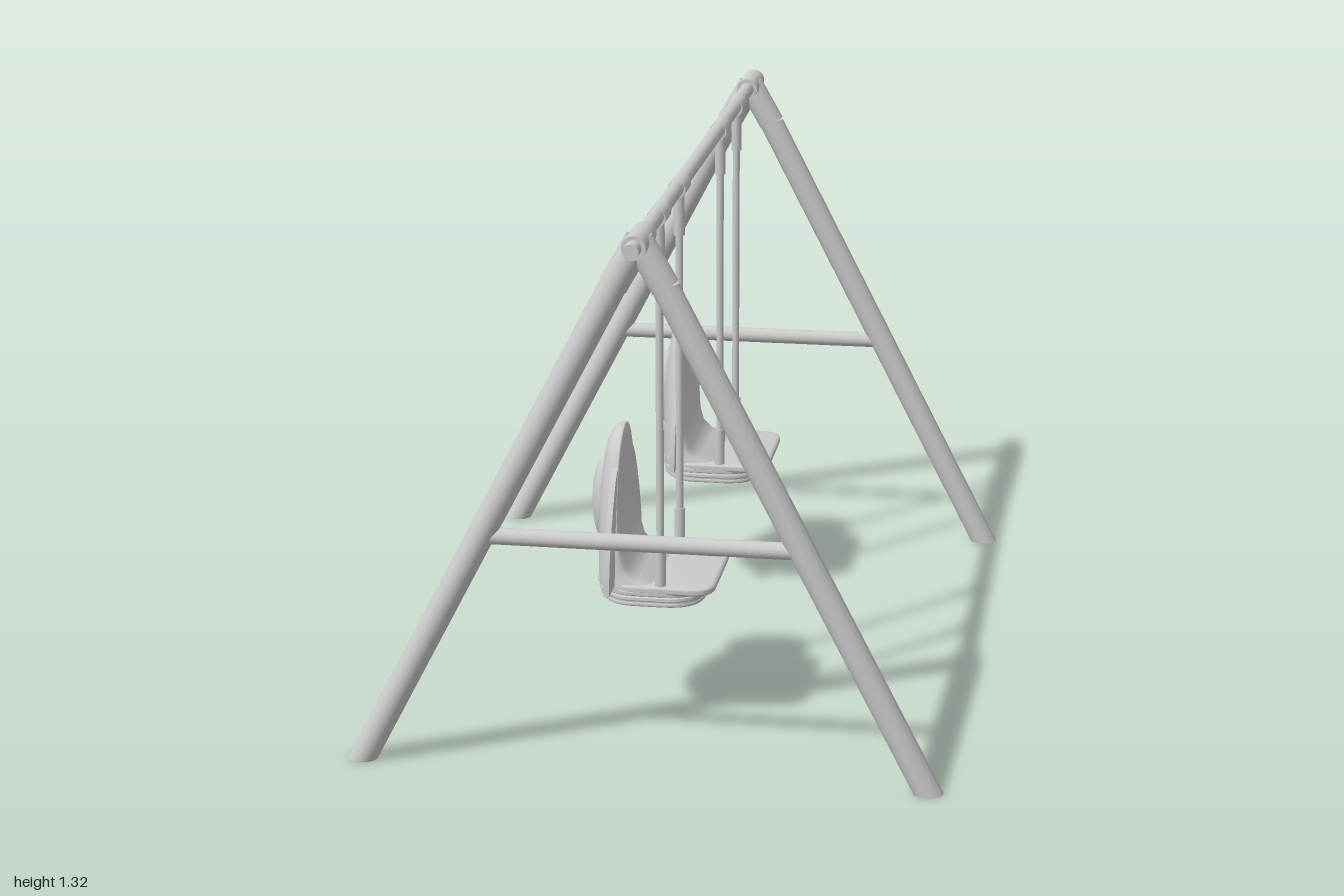
import * as THREE from 'three';
import { toCreasedNormals } from 'three/addons/utils/BufferGeometryUtils.js';

const material = new THREE.MeshStandardMaterial({ color: 0xcccccc });
const BEAM_Y = 1.295, FRAME_Z = 0.89, LEG_X = 0.675;

function add(parent, name, geometry) {
  const mesh = new THREE.Mesh(geometry, material);
  mesh.name = name;
  parent.add(mesh);
  return mesh;
}

// Cylinder running from point a to point b
function rod(parent, name, a, b, radius, sides = 24) {
  const from = new THREE.Vector3(...a), to = new THREE.Vector3(...b);
  const dir = to.clone().sub(from);
  const mesh = add(parent, name, new THREE.CylinderGeometry(radius, radius, dir.length(), sides));
  mesh.position.copy(from).add(to).multiplyScalar(0.5);
  mesh.quaternion.setFromUnitVectors(new THREE.Vector3(0, 1, 0), dir.normalize());
  return mesh;
}

// Closed outline with every corner rounded by a quadratic curve
function roundedOutline(corners, radius) {
  const pts = corners.map(([x, y]) => new THREE.Vector2(x, y));
  const shape = new THREE.Shape();
  pts.forEach((p, i) => {
    const prev = pts[(i + pts.length - 1) % pts.length], next = pts[(i + 1) % pts.length];
    const toward = (q) => p.clone().lerp(q, Math.min(0.5, radius / p.distanceTo(q)));
    const a = toward(prev), b = toward(next);
    if (i === 0) shape.moveTo(a.x, a.y); else shape.lineTo(a.x, a.y);
    shape.quadraticCurveTo(p.x, p.y, b.x, b.y);
  });
  shape.closePath();
  return shape;
}

// Horizontal slab between two heights, edges softened by a bevel
function slab(shape, y0, y1, bevel) {
  const g = new THREE.ExtrudeGeometry(shape, {
    depth: y1 - y0 - 2 * bevel, curveSegments: 8, bevelThickness: bevel,
    bevelSize: bevel, bevelOffset: -bevel, bevelSegments: 3,
  });
  g.rotateX(-Math.PI / 2).translate(0, y0 + bevel, 0);
  return toCreasedNormals(g, 0.7);
}

// Backrest lofted from D-shaped sections: [height, half width, front x, back x]
function backrestGeometry() {
  const levels = [
    [0.36, 0.155, 0, -0.168], [0.375, 0.155, -0.01, -0.17], [0.385, 0.152, -0.055, -0.17],
    [0.41, 0.15, -0.083, -0.17], [0.46, 0.142, -0.097, -0.17], [0.53, 0.13, -0.104, -0.168],
    [0.6, 0.113, -0.106, -0.165], [0.65, 0.096, -0.106, -0.159], [0.69, 0.075, -0.106, -0.151],
    [0.715, 0.052, -0.106, -0.142], [0.73, 0.028, -0.107, -0.131], [0.735, 0.001, -0.11, -0.113],
  ];
  const n = 48, mid = -0.112, position = [], index = [];
  levels.forEach(([y, w, front, back], i) => {
    for (let j = 0; j < n; j++) {
      const t = (j / n) * Math.PI * 2, c = Math.cos(t), s = Math.sin(t);
      if (s < 0) position.push(mid + (mid - back) * s, y, w * c);
      else position.push(mid + (front - mid) * s ** 0.35, y, w * Math.sign(c) * Math.abs(c) ** 0.35);
      if (i === levels.length - 1) continue;
      const k = (j + 1) % n, a = i * n + j, b = i * n + k;
      index.push(a, b, b + n, a, b + n, a + n);
    }
  });
  const g = new THREE.BufferGeometry();
  g.setAttribute('position', new THREE.Float32BufferAttribute(position, 3));
  g.setIndex(index);
  return toCreasedNormals(g, 0.9);
}

// Thin curved plate standing out on both sides of the backrest
function finGeometry() {
  const side = [[0.228, 0.37], [0.222, 0.42], [0.202, 0.49], [0.165, 0.57], [0.12, 0.635], [0.07, 0.66]];
  const shape = new THREE.Shape();
  shape.moveTo(...side[0]);
  shape.splineThru(side.slice(1).map(([z, y]) => new THREE.Vector2(z, y)));
  shape.lineTo(-0.07, 0.66);
  shape.splineThru(side.slice(0, -1).reverse().map(([z, y]) => new THREE.Vector2(-z, y)));
  shape.closePath();
  const g = new THREE.ExtrudeGeometry(shape, { depth: 0.013, bevelEnabled: false, curveSegments: 12 });
  g.rotateY(-Math.PI / 2).translate(-0.11, 0, 0);
  return toCreasedNormals(g, 0.6);
}

function createSwing() {
  const swing = new THREE.Group();
  swing.name = 'swing';

  // Seat pan with a ribbed underside
  const pan = roundedOutline([[-0.12, -0.163], [0.129, -0.163], [0.129, 0.163], [-0.12, 0.163]], 0.06);
  add(swing, 'seatPan', slab(pan, 0.356, 0.376, 0.007));
  const base = (inset) => {
    const w = 0.163 - inset, b = -0.172 + inset, f = 0.104 - inset;
    return roundedOutline([[b, -0.07], [-0.11, -w], [0.05, -w], [f, -0.11],
      [f, 0.11], [0.05, w], [-0.11, w], [b, 0.07]], 0.045);
  };
  add(swing, 'seatBase', slab(base(0.007), 0.326, 0.362, 0.001));
  [0.323, 0.337, 0.351].forEach((y, i) =>
    add(swing, 'baseRib', slab(base(0.006 - i * 0.003), y, y + 0.011, 0.003)));

  // Backrest, side fins and the oval boss behind
  add(swing, 'backrest', backrestGeometry());
  add(swing, 'sideFins', finGeometry());
  const boss = add(swing, 'backBoss', new THREE.SphereGeometry(1, 32, 20));
  boss.scale.set(0.03, 0.108, 0.056);
  boss.position.set(-0.16, 0.54, 0);

  // Hangers with sleeves at both ends and a clamp on the beam
  for (const z of [-0.145, 0.145]) {
    rod(swing, 'hangerRod', [0, 0.37, z], [0, 1.27, z], 0.0095, 16);
    rod(swing, 'lowerSleeve', [0, 0.365, z], [0, 0.475, z], 0.0135, 16);
    rod(swing, 'upperSleeve', [0, 1.17, z], [0, 1.28, z], 0.0135, 16);
    rod(swing, 'beamClamp', [0, BEAM_Y - 0.004, z - 0.041], [0, BEAM_Y - 0.004, z + 0.041], 0.0225);
  }
  return swing;
}

// A-shaped end frame
function createEndFrame() {
  const frame = new THREE.Group();
  frame.name = 'endFrame';
  const slope = LEG_X / 1.305, top = 1.2;
  for (const s of [-1, 1]) {
    // Sheared cylinder, so the foot is cut level with the ground
    const g = new THREE.CylinderGeometry(0.032, 0.032, top, 32);
    g.scale(Math.hypot(1, slope), 1, 1).translate(0, top / 2, 0);
    g.applyMatrix4(new THREE.Matrix4().set(1, -s * slope, 0, s * LEG_X, 0, 1, 0, 0, 0, 0, 1, 0, 0, 0, 0, 1));
    g.deleteAttribute('normal');
    add(frame, 'leg', toCreasedNormals(g, 0.6));
    rod(frame, 'legSocket', [s * (LEG_X - slope * 1.19), 1.19, 0], [0, BEAM_Y, 0], 0.034, 32);
  }
  rod(frame, 'crossBrace', [-0.375, 0.577, 0], [0.375, 0.577, 0], 0.02);
  rod(frame, 'beamSleeve', [0, BEAM_Y, -0.072], [0, BEAM_Y, 0.072], 0.028, 32);
  return frame;
}

export function createModel() {
  const model = new THREE.Group();
  model.name = 'swingSet';
  rod(model, 'topBeam', [0, BEAM_Y, -1], [0, BEAM_Y, 1], 0.0185, 32);
  for (const s of [-1, 1]) {
    const frame = createEndFrame();
    frame.position.z = s * FRAME_Z;
    const swing = createSwing();
    swing.position.z = s * 0.476;
    model.add(frame, swing);
  }
  return model;
}
